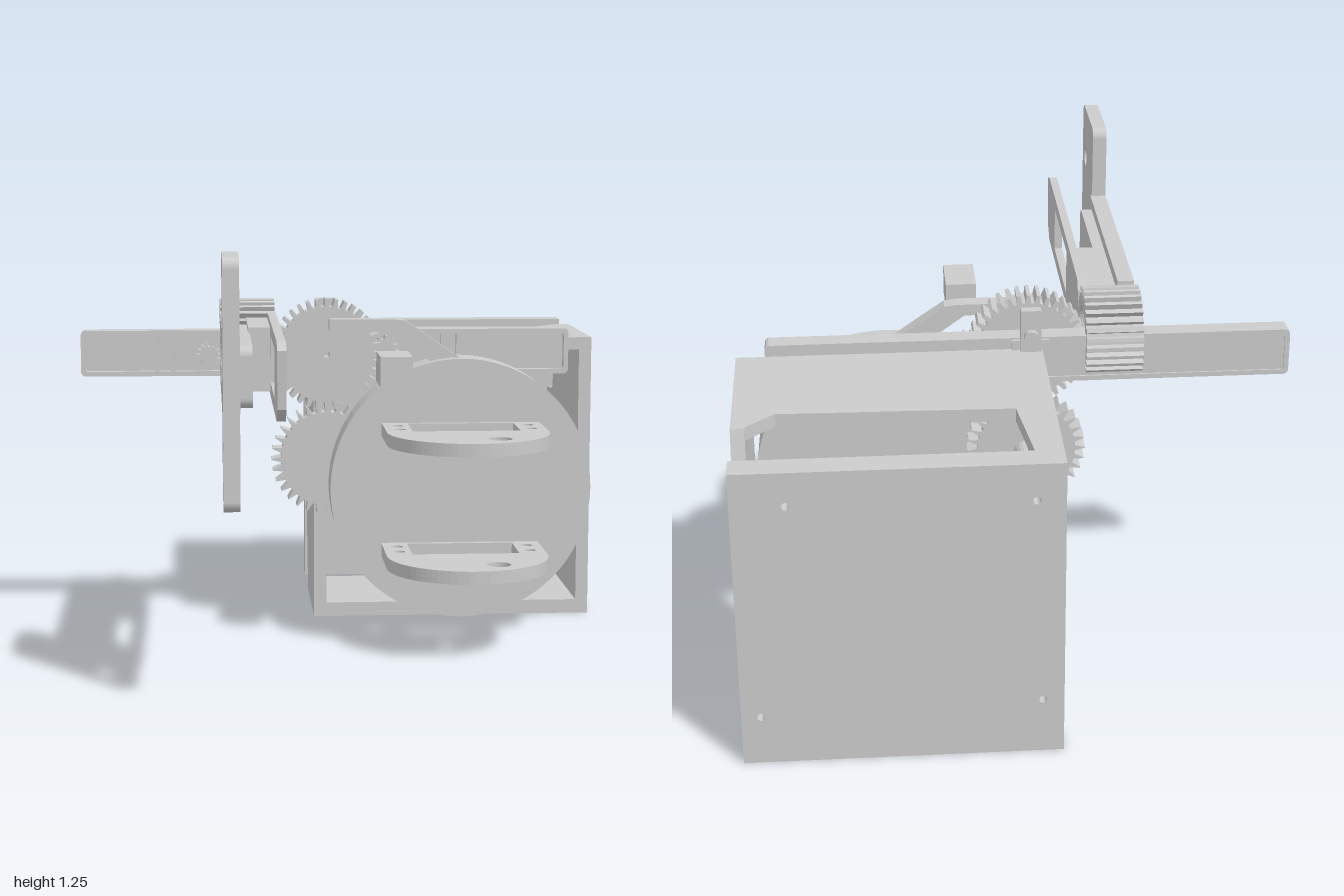
import * as THREE from 'three';

const mat = new THREE.MeshStandardMaterial({ color: 0xcccccc, flatShading: true, side: THREE.DoubleSide });

export function createModel() {
  const root = new THREE.Group();
  const add = (name, geo, parent = root) => {
    const m = new THREE.Mesh(geo, mat);
    m.name = name;
    parent.add(m);
    return m;
  };
  const group = (name) => {
    const g = new THREE.Group();
    g.name = name;
    root.add(g);
    return g;
  };
  // Box given by its limits on each axis
  const box = (name, x0, x1, y0, y1, z0, z1, parent) => add(name,
    new THREE.BoxGeometry(x1 - x0, y1 - y0, z1 - z0)
      .translate((x0 + x1) / 2, (y0 + y1) / 2, (z0 + z1) / 2), parent);
  const poly = (pts) => new THREE.Shape(pts.map(([a, b]) => new THREE.Vector2(a, b)));
  const rect = (a0, a1, b0, b1) => poly([[a0, b0], [a1, b0], [a1, b1], [a0, b1]]);
  const circle = (a, b, r) => new THREE.Shape().absarc(a, b, r, 0, Math.PI * 2);
  const roundRect = (a0, a1, b0, b1, r) => {
    const s = new THREE.Shape();
    s.absarc(a1 - r, b0 + r, r, -Math.PI / 2, 0);
    s.absarc(a1 - r, b1 - r, r, 0, Math.PI / 2);
    s.absarc(a0 + r, b1 - r, r, Math.PI / 2, Math.PI);
    s.absarc(a0 + r, b0 + r, r, Math.PI, Math.PI * 1.5);
    return s;
  };
  // Plates: facing z (shape x, y), facing x (shape -z, y), facing y (shape x, -z)
  const extrude = (shape, holes, depth) => {
    shape.holes.push(...holes);
    return new THREE.ExtrudeGeometry(shape, { depth, bevelEnabled: false, curveSegments: 20 });
  };
  const plateZ = (s, z0, z1, holes = []) => extrude(s, holes, z1 - z0).translate(0, 0, z0);
  const plateX = (s, x0, x1, holes = []) => extrude(s, holes, x1 - x0).rotateY(Math.PI / 2).translate(x0, 0, 0);
  const plateY = (s, y0, y1, holes = []) => extrude(s, holes, y1 - y0).rotateX(-Math.PI / 2).translate(0, y0, 0);
  // Toothed outline; tip is the share of a tooth pitch kept flat at the top
  const gearShape = (cx, cy, rOut, rIn, teeth, tip) => {
    const pts = [];
    for (let i = 0; i < teeth; i++) {
      for (const [f, r] of [[-0.3, rIn], [-tip / 2, rOut], [tip / 2, rOut], [0.3, rIn]]) {
        const a = (i + f) / teeth * Math.PI * 2;
        pts.push([cx + r * Math.cos(a), cy + r * Math.sin(a)]);
      }
    }
    return poly(pts);
  };

  // Hollow housing with an open front and cut-outs beside the back panel
  const housing = group('housing');
  add('backPanel', plateZ(rect(-0.08, 0.82, 0, 0.91), -1, -0.92,
    [[0.67, 0.81], [0, 0.8], [0.765, 0.15], [-0.02, 0.17]].map(([x, y]) => circle(x, y, 0.011))), housing);
  add('rightWall', plateX(poly([[0.26, 0], [0.69, 0], [0.92, 0.8], [0.92, 0.91], [0.26, 0.91]]), -0.08, -0.04), housing);
  add('leftWall', plateX(poly([[0.26, 0], [0.92, 0], [0.92, 0.67], [0.8, 0.68], [0.73, 0.91], [0.26, 0.91]]),
    0.78, 0.82), housing);
  add('topWall', plateY(poly([[-0.04, 0.26], [0.78, 0.26], [0.78, 0.72], [0.7, 0.645], [0.03, 0.66], [0, 0.92], [-0.04, 0.92]]),
    0.87, 0.91), housing);
  add('bottomWall', plateY(poly([[-0.04, 0.26], [0.78, 0.26], [0.78, 0.8], [0.7, 0.66], [-0.04, 0.68]]), 0, 0.045), housing);
  box('bottomStrut', 0.53, 0.58, 0, 0.04, -0.92, -0.64, housing);

  // Turntable disc with two servo brackets
  const table = group('turntable');
  const disc = add('disc', new THREE.CylinderGeometry(0.41, 0.41, 0.12, 72).rotateX(Math.PI / 2), table);
  disc.position.set(0.37, 0.46, -0.07);
  for (const y of [0.25, 0.63]) {
    const s = new THREE.Shape();
    s.moveTo(0.12, 0.02);
    s.lineTo(0.12, -0.2);
    s.absellipse(0.367, -0.2, 0.247, 0.25, Math.PI, Math.PI * 2, false);
    s.lineTo(0.614, 0.02);
    const holes = [rect(0.2, 0.53, -0.18, -0.01), circle(0.445, -0.35, 0.036)];
    for (const x of [0.165, 0.57]) for (const z of [0.055, 0.135]) holes.push(circle(x, -z, 0.017));
    add('servoBracket', plateY(s, y, y + 0.04, holes), table);
  }
  box('looseBlock', 0.085, 0.18, 0.83, 0.92, 0.22, 0.385);

  // Bent link above the disc
  add('bentLink', plateZ(poly([[-0.04, 0.955], [0.14, 0.955], [0.3, 0.84], [0.41, 0.84], [0.2, 0.985], [0.16, 0.99], [-0.04, 0.99]]),
    -0.105, -0.055));

  // Gear train
  const gears = group('gearTrain');
  add('upperGear', plateZ(gearShape(-0.045, 0.875, 0.175, 0.15, 36, 0.36), -0.19, -0.11, [circle(-0.045, 0.875, 0.01)]), gears);
  add('lowerGear', plateZ(gearShape(-0.04, 0.54, 0.18, 0.15, 32, 0.08), -0.19, -0.125), gears);
  const shaft = add('lowerShaft', new THREE.CylinderGeometry(0.04, 0.03, 0.06, 20).rotateX(Math.PI / 2), gears);
  shaft.position.set(-0.04, 0.53, -0.22);
  add('pinion', plateZ(gearShape(0.135, 0.875, 0.055, 0.042, 14, 0.3), -0.2, -0.15), gears);
  add('sidePinion', plateZ(gearShape(-0.415, 0.87, 0.04, 0.028, 14, 0.15), -0.2, -0.165), gears);
  add('drumGear', plateX(gearShape(0.155, 0.912, 0.137, 0.118, 30, 0.36), -0.38, -0.21, [circle(0.155, 0.912, 0.08)]), gears);

  // Long rail with a raised rim and ribs
  const rail = group('rail');
  box('railBack', -0.81, 0.725, 0.81, 0.935, -0.255, -0.225, rail);
  add('railRim', plateZ(roundRect(-0.82, 0.735, 0.8, 0.945, 0.015), -0.26, -0.2,
    [roundRect(-0.805, 0.72, 0.815, 0.93, 0.01)]), rail);
  for (const x of [-0.58, -0.53, 0.33, 0.38]) box('railRib', x - 0.006, x + 0.006, 0.815, 0.93, -0.24, -0.203, rail);
  box('clipBase', -0.1, 0.01, 0.87, 0.94, -0.27, -0.25, rail);
  box('clipPost', -0.075, -0.015, 0.9, 1.04, -0.285, -0.255, rail);
  const screw = add('clipScrew', new THREE.CylinderGeometry(0.022, 0.022, 0.05, 16).rotateX(Math.PI / 2), rail);
  screw.position.set(-0.045, 0.96, -0.28);

  // Forward arm: two side plates joined at the root
  const arm = group('arm');
  add('outerPlate', plateX(poly([[0.03, 0.8], [0.03, 1.02], [-0.72, 1.02], [-0.72, 0.8]]), -0.38, -0.33, [rect(-0.64, -0.36, 0.87, 0.95)]), arm);
  add('outerBulge', plateX(roundRect(-0.7, 0, 0.81, 0.985, 0.03), -0.33, -0.295), arm);
  add('innerPlate', plateX(poly([[0.03, 0.81], [0.03, 0.98], [0, 1.02], [-0.9, 1.02], [-0.955, 1], [-0.94, 0.84], [-0.88, 0.8], [0, 0.8]]),
    -0.235, -0.21, [rect(-0.7, -0.32, 0.84, 0.98)]), arm);
  box('armRoot', -0.3, -0.235, 0.81, 1.0, -0.03, 0.3, arm);

  // Upright plate at the arm tip
  add('tipPlate', plateX(roundRect(-1, -0.71, 0.57, 1.25, 0.03), -0.38, -0.335,
    [circle(-0.92, 1.085, 0.03), rect(-0.97, -0.865, 0.615, 0.8), circle(-0.92, 0.592, 0.009)]), arm);
  return root;
}
